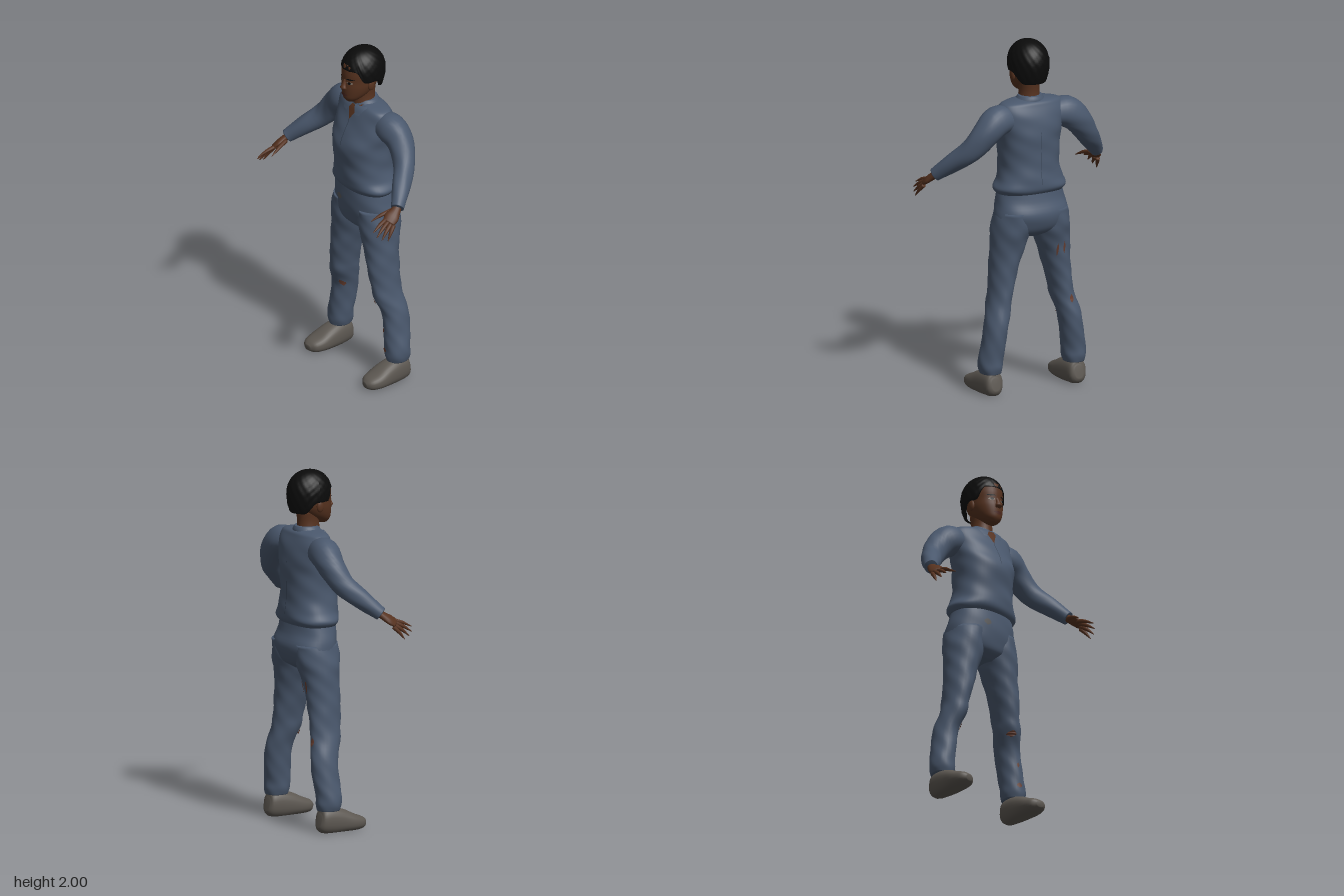
import * as THREE from 'three';

const mat = (name, color) => {
  const m = new THREE.MeshStandardMaterial({ color });
  m.name = name;
  return m;
};

// Catmull-Rom smoothing of section rows [x, y, z, radiusU, radiusV]
function smooth(rows, steps) {
  const out = [];
  const at = (i) => rows[Math.max(0, Math.min(rows.length - 1, i))];
  for (let i = 0; i < rows.length - 1; i++) {
    for (let s = 0; s < steps; s++) {
      const t = s / steps;
      const [a, b, c, d] = [at(i - 1), at(i), at(i + 1), at(i + 2)];
      out.push(b.map((p, k) => p + 0.5 * t * (c[k] - a[k] + t * (2 * a[k] - 5 * p + 4 * c[k] - d[k]
        + t * (3 * (p - c[k]) + d[k] - a[k])))));
    }
  }
  out.push(rows[rows.length - 1]);
  return out;
}

function surface(pos, index) {
  const g = new THREE.BufferGeometry();
  g.setAttribute('position', new THREE.Float32BufferAttribute(pos, 3));
  g.setIndex(index);
  g.computeVertexNormals();
  return g;
}

// Closed loft of oval rings; ref steers the rings, flat keeps them level
function loft(sections, { ref = [0, 0, 1], flat = false, sides = 28, steps = 4, power = 2, fold = 0, floor = -1 } = {}) {
  const rows = smooth(sections, steps);
  const pos = [], index = [], last = rows.length - 1;
  const r = new THREE.Vector3(...ref);
  const P = rows.map((q) => new THREE.Vector3(q[0], q[1], q[2]));
  rows.forEach((q, i) => {
    const t = flat ? new THREE.Vector3(0, -1, 0)
      : P[Math.min(last, i + 1)].clone().sub(P[Math.max(0, i - 1)]).normalize();
    const u = r.clone().cross(t).normalize(), v = t.clone().cross(u);
    for (let j = 0; j < sides; j++) {
      const a = (j / sides) * Math.PI * 2, c = Math.cos(a), s = Math.sin(a);
      const w = 1 + fold * (Math.sin(3 * a + q[1] * 34) + Math.sin(5 * a - q[1] * 55 + 1));
      const p = P[i].clone()
        .addScaledVector(u, Math.sign(c) * Math.abs(c) ** (2 / power) * q[3] * w)
        .addScaledVector(v, Math.sign(s) * Math.abs(s) ** (2 / power) * q[4] * w);
      pos.push(p.x, Math.max(floor, p.y), p.z);
      if (i < last) {
        const k = i * sides, n = (j + 1) % sides;
        index.push(k + j, k + n, k + sides + j, k + n, k + sides + n, k + sides + j);
      }
    }
  });
  const top = rows.length * sides;
  pos.push(...P[0].toArray(), ...P[last].toArray());
  for (let j = 0; j < sides; j++) {
    const n = (j + 1) % sides, k = last * sides;
    index.push(top, n, j, top + 1, k + j, k + n);
  }
  return surface(pos, index);
}

// Thin patch laid on the front (side 1) or back (side -1) of a level loft
function patch(sections, cx, y0, y1, halfWidth, { side = 1, lift = 0.006, power = 2 } = {}) {
  const rows = smooth(sections, 8), pos = [], index = [], nx = 6, ny = 8;
  for (let i = 0; i <= ny; i++) {
    const t = i / ny, y = y0 + (y1 - y0) * t;
    const q = rows.reduce((a, b) => (Math.abs(b[1] - y) < Math.abs(a[1] - y) ? b : a));
    for (let j = 0; j <= nx; j++) {
      const x = cx + (j / nx * 2 - 1) * halfWidth(t);
      const e = Math.min(1, Math.abs(x - q[0]) / q[3]);
      pos.push(x, y, q[2] + side * (q[4] * (1 - e ** power) ** (1 / power) + lift));
      if (i < ny && j < nx) {
        const a = i * (nx + 1) + j, b = a + 1, c = a + nx + 1, d = c + 1;
        index.push(...(side > 0 ? [a, b, c, b, d, c] : [a, c, b, b, c, d]));
      }
    }
  }
  return surface(pos, index);
}

// Full cap of hair with a hairline that drops from brow to nape
function hairGeometry() {
  const g = new THREE.SphereGeometry(1, 64, 32), p = g.attributes.position, uv = g.attributes.uv;
  const step = THREE.MathUtils.smoothstep;
  for (let i = 0; i < p.count; i++) {
    const t = 1 - uv.getY(i), a = uv.getX(i) * Math.PI * 2, f = Math.sin(a);
    const line = 1.83 + 0.07 * step(f, 0.45, 0.8) - 0.065 * step(-f, 0.1, 0.7);
    const drop = line - 1.87;
    const phi = Math.min(1, t / 0.94) * Math.acos(drop / (drop > 0 ? 0.13 : 0.18));
    const c = Math.cos(phi), curl = 1 + 0.018 * Math.sin(a * 16 + phi * 5) * Math.sin(phi * 17) * Math.sin(phi);
    const r = Math.sin(phi) ** 0.9 * curl * (t > 0.95 ? 0.84 : 1);
    p.setXYZ(i, -Math.cos(a) * r * 0.113, 1.87 + c * (c > 0 ? 0.13 : 0.18), -0.078 + f * r * 0.131);
  }
  g.computeVertexNormals();
  return g;
}

export function createModel() {
  const model = new THREE.Group();
  const cloth = mat('blue cloth', 0x4a586d), seam = mat('dark seam', 0x364252);
  const skin = mat('brown skin', 0x56321f), lip = mat('lips', 0x4c2720);
  const black = mat('black hair', 0x0b0b0b), shoe = mat('grey shoe', 0x5c5751);
  const rust = mat('rust stain', 0x673e30), white = mat('eye white', 0x8d857c), dull = mat('dull patch', 0x59595a);
  const add = (name, geometry, material, parent = model) => {
    const m = new THREE.Mesh(geometry, material);
    m.name = name;
    parent.add(m);
    return m;
  };

  // Shirt and trouser seat
  const torso = [[0, 1.675, -0.09, 0.065, 0.05], [0, 1.66, -0.1, 0.16, 0.075], [0, 1.635, -0.1, 0.193, 0.09],
    [0, 1.58, -0.1, 0.198, 0.112], [0, 1.5, -0.088, 0.188, 0.137], [0, 1.42, -0.074, 0.176, 0.152],
    [0, 1.3, -0.08, 0.172, 0.144], [0, 1.22, -0.086, 0.186, 0.147], [0, 1.17, -0.09, 0.212, 0.143],
    [0, 1.14, -0.09, 0.196, 0.122]];
  add('shirt', loft(torso, { flat: true, sides: 48, steps: 6, power: 2.3, fold: 0.008 }), cloth);
  const hips = [[0, 1.19, -0.09, 0.18, 0.12], [0, 1.1, -0.092, 0.2, 0.13], [0, 1.03, -0.106, 0.214, 0.142],
    [0, 0.97, -0.105, 0.212, 0.132], [0, 0.92, -0.1, 0.17, 0.11], [0, 0.885, -0.095, 0.06, 0.06]];
  add('trouserSeat', loft(hips, { flat: true, sides: 48, power: 2.3, fold: 0.005 }), cloth);
  const onShirt = { power: 2.3, lift: 0.005 };
  add('openNeck', patch(torso, 0, 1.575, 1.672, (t) => 0.055 * t, onShirt), skin);
  add('placket', patch(torso, 0, 1.43, 1.575, () => 0.002, onShirt), seam);
  add('waistPatch', patch(hips, -0.062, 1.05, 1.09, (t) => 0.024 * Math.sin(Math.PI * t), onShirt), dull);
  add('backSeam', patch(torso, 0, 1.2, 1.5, () => 0.0015, { ...onShirt, side: -1 }), seam);
  add('collarBand', loft([[0, 1.69, -0.098, 0.067, 0.064], [0, 1.67, -0.096, 0.08, 0.075],
    [0, 1.645, -0.094, 0.1, 0.078]], { flat: true }), cloth);

  // Neck, head and hair
  add('neck', loft([[0, 1.77, -0.085, 0.06, 0.07], [0, 1.71, -0.085, 0.056, 0.063], [0, 1.64, -0.085, 0.066, 0.068]],
    { flat: true }), skin);
  const head = [[0, 1.97, -0.07, 0.05, 0.06], [0, 1.93, -0.07, 0.088, 0.11], [0, 1.88, -0.068, 0.096, 0.118],
    [0, 1.83, -0.062, 0.092, 0.112], [0, 1.79, -0.052, 0.087, 0.106], [0, 1.75, -0.033, 0.073, 0.086],
    [0, 1.72, -0.01, 0.053, 0.059], [0, 1.698, 0.004, 0.028, 0.03]];
  add('head', loft(head, { flat: true, sides: 36, steps: 6 }), skin);
  add('hair', hairGeometry(), black);
  add('nose', loft([[0, 1.84, 0.043, 0.009, 0.008], [0, 1.81, 0.053, 0.013, 0.013], [0, 1.79, 0.058, 0.021, 0.016],
    [0, 1.777, 0.05, 0.015, 0.01]], { flat: true, sides: 16 }), skin);
  const oval = (w) => (t) => w * Math.sin(Math.PI * t);
  add('mouth', patch(head, 0, 1.737, 1.757, oval(0.029), { lift: 0.005 }), lip);

  for (const s of [1, -1]) {
    const name = (part) => (s > 0 ? 'left' : 'right') + part;
    const m = (rows) => rows.map(([x, ...rest]) => [x * s, ...rest]);

    // Face details
    add(name('Eye'), patch(head, s * 0.037, 1.818, 1.834, oval(0.018), { lift: 0.003 }), white);
    add(name('Pupil'), patch(head, s * 0.037, 1.817, 1.835, oval(0.009), { lift: 0.005 }), black);
    add(name('Brow'), patch(head, s * 0.039, 1.844, 1.854, oval(0.025), { lift: 0.004 }), black);
    const ear = add(name('Ear'), new THREE.SphereGeometry(1, 16, 12), skin);
    ear.scale.set(0.012, 0.033, 0.022);
    ear.position.set(s * 0.092, 1.805, -0.065);

    // Collar flap
    const flap = add(name('CollarFlap'), patch(torso, s * 0.085, 1.605, 1.665, (t) => 0.008 + 0.034 * t,
      { ...onShirt, lift: 0.014 }), cloth);
    flap.rotation.z = s * 0.02;

    // Sleeve
    add(name('Sleeve'), loft(m([[0.13, 1.565, -0.108, 0.07, 0.07], [0.215, 1.565, -0.115, 0.084, 0.088],
      [0.29, 1.505, -0.12, 0.074, 0.077], [0.365, 1.41, -0.088, 0.06, 0.064], [0.435, 1.335, -0.015, 0.052, 0.054],
      [0.49, 1.275, 0.045, 0.04, 0.042], [0.507, 1.255, 0.066, 0.037, 0.038]]),
    { ref: [0, 1, 0], fold: 0.012 }), cloth);

    // Hand with tapered fingers
    const hand = new THREE.Group();
    hand.name = name('Hand');
    model.add(hand);
    const ref = [s * 0.52, 0.67, 0.25];
    add('palm', loft(m([[0.495, 1.268, 0.05, 0.024, 0.02], [0.51, 1.242, 0.082, 0.029, 0.019],
      [0.52, 1.22, 0.115, 0.041, 0.018], [0.53, 1.198, 0.145, 0.034, 0.012]]), { ref, sides: 16 }), skin, hand);
    const digits = {
      thumb: [0.485, 1.24, 0.09, 0.455, 1.195, 0.21], indexFinger: [0.508, 1.213, 0.14, 0.53, 1.17, 0.25],
      middleFinger: [0.523, 1.203, 0.14, 0.55, 1.145, 0.24], ringFinger: [0.537, 1.192, 0.133, 0.563, 1.125, 0.215],
      littleFinger: [0.548, 1.183, 0.122, 0.572, 1.112, 0.18],
    };
    for (const [finger, [x, y, z, X, Y, Z]] of Object.entries(digits)) {
      add(finger, loft(m([[x, y, z, 0.012, 0.012], [(x + X) / 2, (y + Y) / 2 + 0.005, (z + Z) / 2, 0.0105, 0.01],
        [X, Y, Z, 0.002, 0.002]]), { ref, sides: 10 }), skin, hand);
    }

    // Trouser leg
    const leg = m([[0.11, 1.04, -0.105, 0.1, 0.13], [0.122, 0.94, -0.1, 0.11, 0.127], [0.135, 0.86, -0.095, 0.101, 0.112],
      [0.152, 0.78, -0.092, 0.088, 0.102], [0.17, 0.68, -0.09, 0.075, 0.098], [0.187, 0.58, -0.096, 0.065, 0.092],
      [0.2, 0.51, -0.1, 0.066, 0.09], [0.228, 0.41, -0.128, 0.066, 0.08], [0.245, 0.3, -0.127, 0.065, 0.079],
      [0.259, 0.21, -0.12, 0.07, 0.073], [0.262, 0.16, -0.12, 0.068, 0.074], [0.262, 0.125, -0.12, 0.058, 0.066]]);
    add(name('TrouserLeg'), loft(leg, { flat: true, fold: 0.014, steps: 5 }), cloth);
    const stains = s > 0 ? [[0.175, 0.465, 0.5, 0.022, 1], [0.235, 0.3, 0.33, 0.008, 1], [0.245, 0.18, 0.21, 0.016, 1]]
      : [[-0.175, 0.4, 0.45, 0.01, 1], [-0.12, 0.76, 0.84, 0.006, -1], [-0.16, 0.77, 0.85, 0.006, -1],
        [-0.21, 0.48, 0.53, 0.012, -1]];
    for (const [x, y0, y1, w, side] of stains) add('stain', patch(leg, x, y0, y1, oval(w), { side }), rust);

    // Shoe
    add(name('Shoe'), loft(m([[0.262, 0.07, -0.186, 0.025, 0.035], [0.262, 0.068, -0.17, 0.05, 0.066],
      [0.262, 0.066, -0.11, 0.06, 0.075], [0.262, 0.056, -0.04, 0.066, 0.066], [0.264, 0.042, 0.03, 0.068, 0.048],
      [0.264, 0.035, 0.085, 0.052, 0.034], [0.262, 0.032, 0.11, 0.02, 0.016]]),
    { ref: [0, 1, 0], power: 2.4, floor: 0 }), shoe);
  }
  return model;
}
